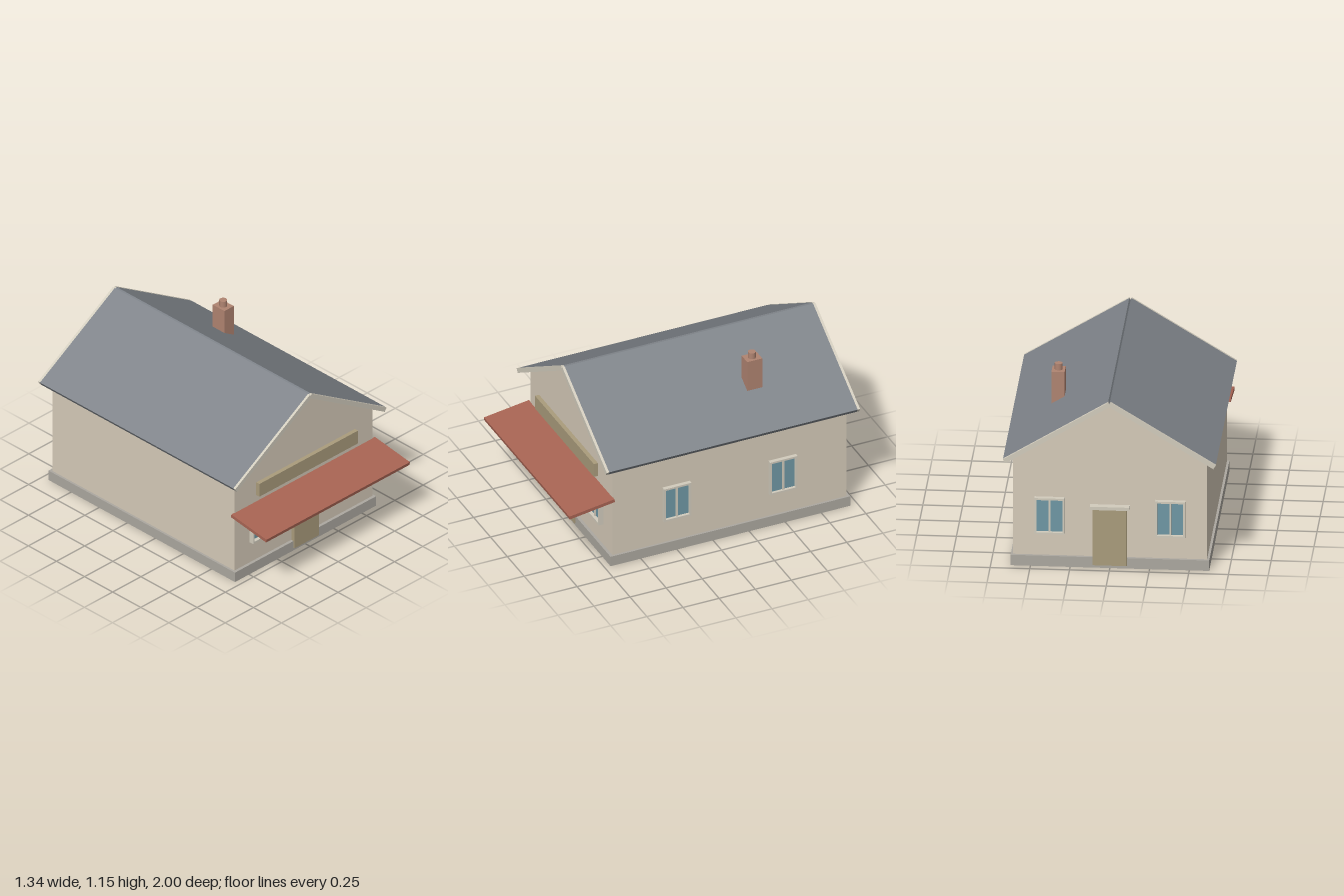
import * as THREE from 'three';

const mat = (color) => new THREE.MeshStandardMaterial({ color });
const M = {
  wall: mat(0xd6cbb9), trim: mat(0xd2ccbd), base: mat(0xaca8a0), roof: mat(0x7d8288),
  door: mat(0xaa9c7c), glass: mat(0x6f98a5), awning: mat(0xa86453), brick: mat(0xb08471),
};

// Box given by its min and max corners
function box(name, material, [x0, y0, z0], [x1, y1, z1]) {
  const mesh = new THREE.Mesh(new THREE.BoxGeometry(x1 - x0, y1 - y0, z1 - z0), material);
  mesh.position.set((x0 + x1) / 2, (y0 + y1) / 2, (z0 + z1) / 2);
  mesh.name = name;
  return mesh;
}

function rectPath(path, w, h) {
  return path.moveTo(-w, -h).lineTo(w, -h).lineTo(w, h).lineTo(-w, h).closePath();
}

// Framed two-pane window facing +z, its back on z = 0
function makeWindow(name, depth) {
  const g = new THREE.Group();
  g.name = name;
  const w = 0.095, h = 0.122, rim = 0.013;
  const shape = rectPath(new THREE.Shape(), w, h);
  shape.holes.push(rectPath(new THREE.Path(), w - rim, h - rim));
  const frame = new THREE.Mesh(
    new THREE.ExtrudeGeometry(shape, { depth, bevelEnabled: false }), M.trim);
  frame.name = 'windowFrame';
  g.add(
    frame,
    box('windowGlass', M.glass, [-w + rim, -h + rim, 0], [w - rim, h - rim, 0.008]),
    box('windowMullion', M.trim, [-0.006, -h + rim, 0], [0.006, h - rim, 0.018]),
  );
  return g;
}

// Door with lintel and a window on each side, facing +z, wall plane on z = 0
function makeFacade(name) {
  const g = new THREE.Group();
  g.name = name;
  g.add(
    box('door', M.door, [-0.107, 0.02, -0.01], [0.107, 0.4, 0.03]),
    box('doorLintel', M.trim, [-0.125, 0.4, -0.01], [0.125, 0.422, 0.045]),
  );
  for (const s of [-1, 1]) {
    const win = makeWindow('facadeWindow', 0.032);
    win.position.set(s * 0.38, 0.342, 0);
    g.add(win);
  }
  return g;
}

export function createModel() {
  const model = new THREE.Group();
  model.name = 'house';
  const zFront = 0.69, zBack = -0.93, wallX = 0.61;

  // Plinth and gabled body
  model.add(box('plinth', M.base, [-0.625, 0, -0.95], [0.625, 0.07, 0.71]));
  const gable = new THREE.Shape([
    [-wallX, 0.01], [wallX, 0.01], [wallX, 0.722], [0, 1.112], [-wallX, 0.722],
  ].map(([x, y]) => new THREE.Vector2(x, y)));
  const body = new THREE.Mesh(
    new THREE.ExtrudeGeometry(gable, { depth: zFront - zBack, bevelEnabled: false }), M.wall);
  body.position.z = zBack;
  body.name = 'walls';
  model.add(body);

  // Roof slabs with pale boards on both gable ends
  const pitch = Math.atan2(0.405, 0.662), length = 0.776, thick = 0.03;
  for (const s of [-1, 1]) {
    const slope = new THREE.Group();
    slope.name = s > 0 ? 'roofLeft' : 'roofRight';
    const a = Math.min(0, s * length), b = Math.max(0, s * length);
    const t = thick / 2;
    slope.add(
      box('roofSlab', M.roof, [a, -t, -0.98], [b, t, 0.74]),
      box('frontGableBoard', M.trim, [a, -t, 0.74], [b, t, 0.757]),
      box('backGableBoard', M.trim, [a, -t, -0.997], [b, t, -0.98]),
    );
    slope.position.y = 1.127;
    slope.rotation.z = -s * pitch;
    model.add(slope);
  }

  // Chimney and pot
  model.add(box('chimney', M.brick, [0.324, 0.86, -0.442], [0.407, 1.11, -0.338]));
  const pot = new THREE.Mesh(new THREE.CylinderGeometry(0.025, 0.025, 0.05, 24), M.brick);
  pot.position.set(0.365, 1.127, -0.39);
  pot.name = 'chimneyPot';
  model.add(pot);

  // Front and back facades
  const front = makeFacade('frontFacade');
  front.position.z = zFront;
  const back = makeFacade('backFacade');
  back.position.z = zBack;
  back.rotation.y = Math.PI;
  model.add(front, back);

  // Side windows, on the left wall only
  for (const z of [0.25, -0.485]) {
    const win = makeWindow('sideWindow', 0.027);
    win.position.set(wallX, 0.357, z);
    win.rotation.y = Math.PI / 2;
    model.add(win);
  }

  // Sign board above the awning
  model.add(box('signBoard', M.door, [-0.437, 0.565, 0.71], [0.437, 0.66, 0.738]));

  // Sloping awning
  const awning = box('awning', M.awning, [-0.635, -0.011, -0.158], [0.635, 0.011, 0.158]);
  awning.position.set(0, 0.466, 0.842);
  awning.rotation.x = Math.atan2(0.045, 0.31);
  model.add(awning);

  return model;
}
